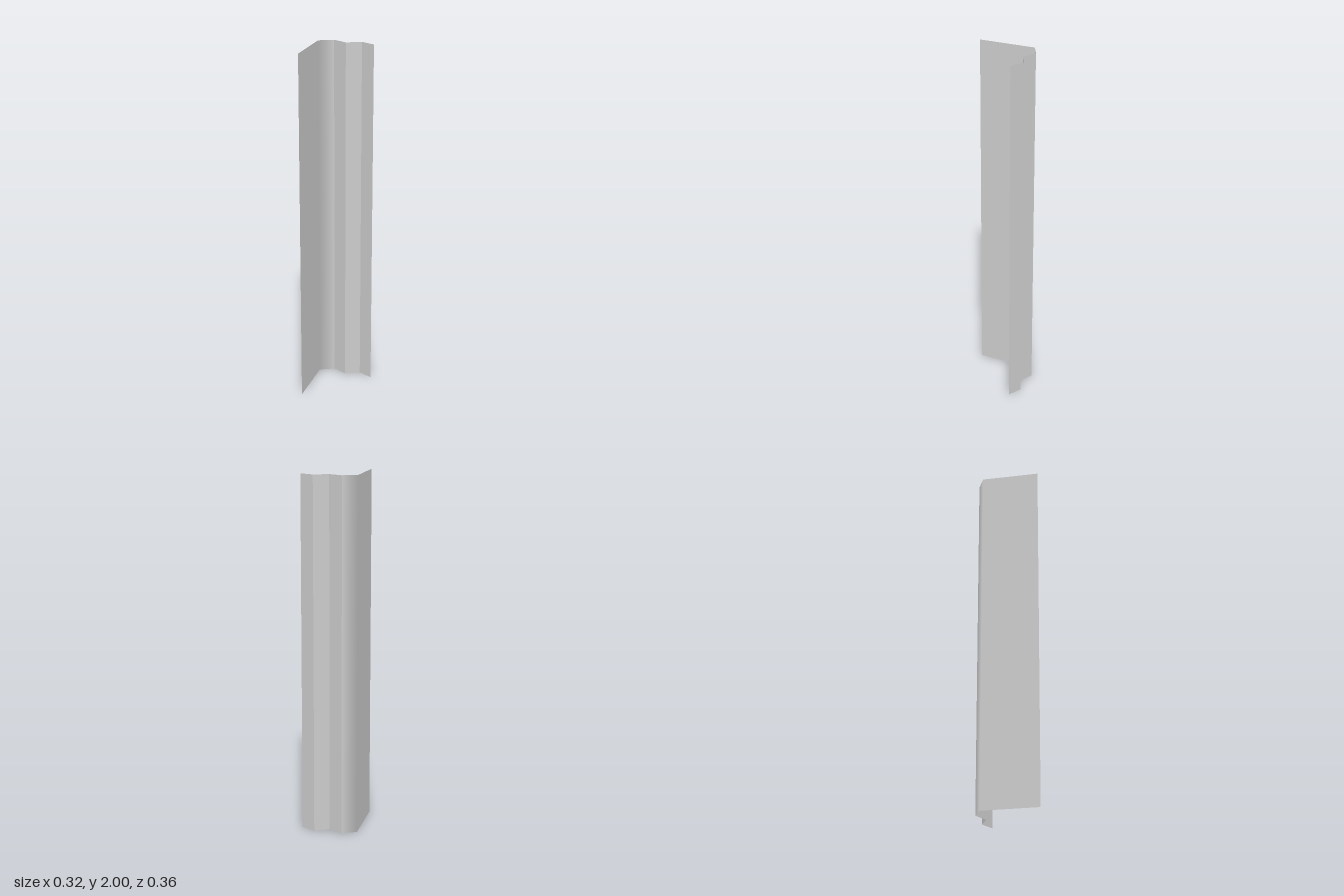
import * as THREE from 'three';

const HEIGHT = 2;

// Vertical sheet between plan points p and q [x, z]; startNormal softens its first edge
function panel(name, p, q, material, startNormal) {
  const normal = new THREE.Vector3(p[1] - q[1], 0, q[0] - p[0]).normalize();
  const first = startNormal ?? normal;
  const geometry = new THREE.BufferGeometry();
  geometry.setAttribute('position', new THREE.Float32BufferAttribute([
    p[0], 0, p[1], q[0], 0, q[1], q[0], HEIGHT, q[1], p[0], HEIGHT, p[1],
  ], 3));
  geometry.setAttribute('normal', new THREE.Float32BufferAttribute(
    [first, normal, normal, first].flatMap((n) => n.toArray()), 3));
  geometry.setIndex([0, 1, 2, 0, 2, 3]);
  const mesh = new THREE.Mesh(geometry, material);
  mesh.name = name;
  return mesh;
}

export function createModel() {
  const group = new THREE.Group();
  group.name = 'corrugatedCornerPanel';
  const material = new THREE.MeshStandardMaterial({ color: 0xcccccc, side: THREE.DoubleSide });

  // Flat side flange running from front to back
  const corner = [-0.158, -0.14];
  group.add(panel('sideFlange', [-0.158, 0.18], corner, material));

  // Corrugated back: four folds alternating in depth, the first blended into the flange
  const folds = 4, width = 0.316;
  let previous = corner;
  for (let i = 1; i <= folds; i++) {
    const next = [corner[0] + (width * i) / folds, i % 2 ? -0.18 : -0.14];
    const blend = i === 1 ? new THREE.Vector3(1, 0, 0) : undefined;
    group.add(panel(`backFold${i}`, previous, next, material, blend));
    previous = next;
  }
  return group;
}
